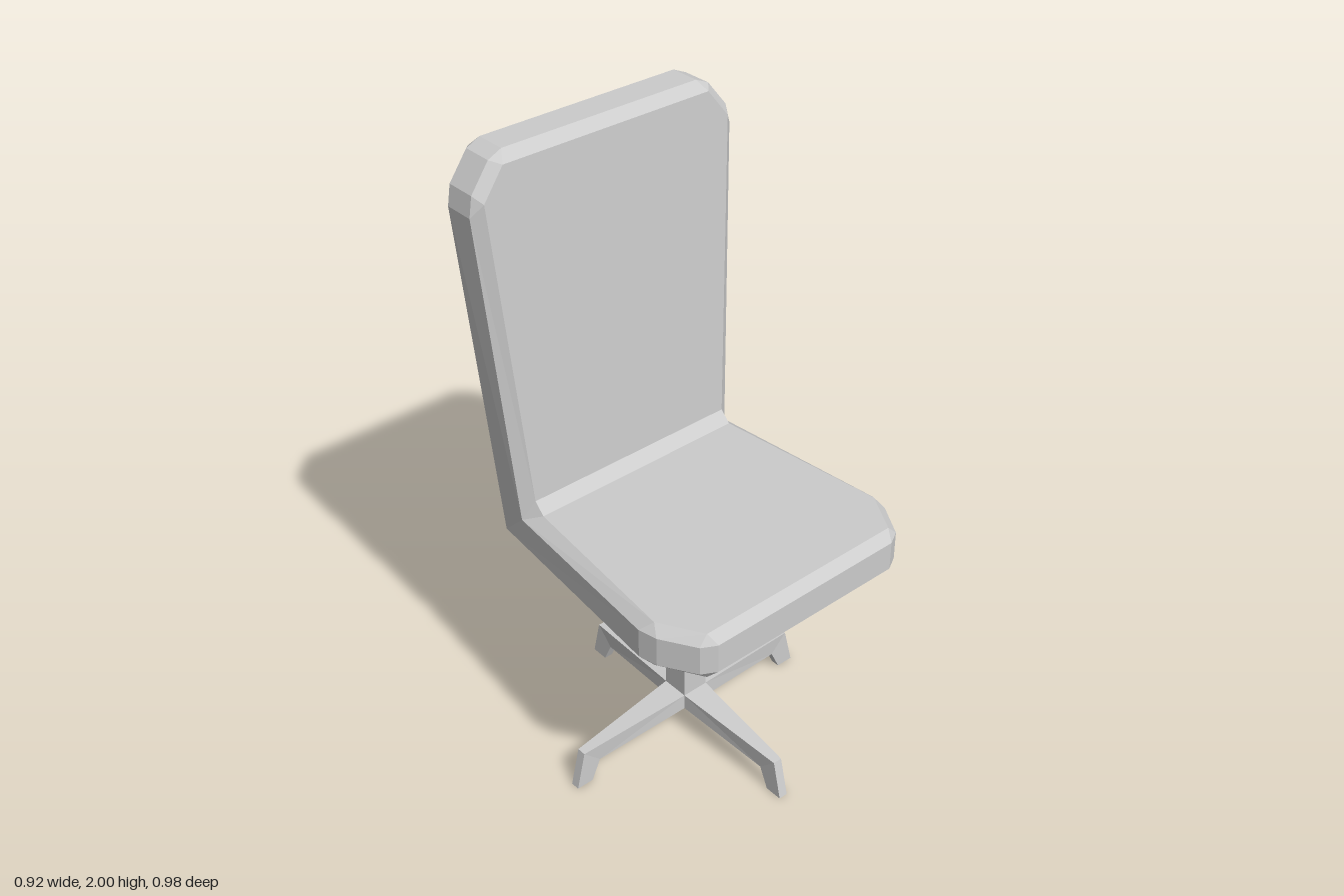
import * as THREE from 'three';

// Loft through stations; each station lists [x, y, z] points of its right half,
// mirrored in x to close the ring. Both ends are capped with strips.
function loft(stations) {
  const pos = [];
  const tri = (a, b, c) => pos.push(...a, ...b, ...c);
  const quad = (a, b, c, d) => { tri(a, b, c); tri(a, c, d); };
  const mirror = ([x, y, z]) => [-x, y, z];
  const rings = stations.map((s) => [...s, ...s.map(mirror).reverse()]);
  const n = rings[0].length;
  for (let s = 0; s < rings.length - 1; s++) {
    for (let i = 0; i < n; i++) {
      const j = (i + 1) % n;
      // swap the diagonal on the mirrored half so both sides match
      if (i < n / 2) quad(rings[s][i], rings[s][j], rings[s + 1][j], rings[s + 1][i]);
      else quad(rings[s][j], rings[s + 1][j], rings[s + 1][i], rings[s][i]);
    }
  }
  const first = stations[0], last = stations[stations.length - 1];
  for (let i = 0; i < first.length - 1; i++) {
    quad(first[i], mirror(first[i]), mirror(first[i + 1]), first[i + 1]);
    quad(last[i], last[i + 1], mirror(last[i + 1]), mirror(last[i]));
  }
  const geo = new THREE.BufferGeometry();
  geo.setAttribute('position', new THREE.Float32BufferAttribute(pos, 3));
  geo.computeVertexNormals();
  return geo;
}

// Cross-section of the seat: inset top and bottom faces, wider rim
const seatStation = (tx, tz, rx, rz) => [
  [tx, 0.89, tz], [rx, 0.86, rz], [rx, 0.765, rz], [tx, 0.735, tz],
];

// Cross-section of the backrest, leaning back as it rises
const backStation = (tx, ty, rx, ry) => [
  [tx, ty, -0.275 - 0.0574 * (ty - 0.925)],
  [rx, ry, -0.30 - 0.0574 * (ry - 0.86)],
  [rx, ry, -0.40 - 0.05 * (ry - 0.765)],
  [tx, ty, -0.43 - 0.05 * (ty - 0.77)],
];

export function createModel() {
  const model = new THREE.Group();
  model.name = 'swivelChair';
  const grey = new THREE.MeshStandardMaterial({ color: 0xcccccc });
  grey.name = 'light grey';
  const add = (name, geometry) => {
    const mesh = new THREE.Mesh(geometry, grey);
    mesh.name = name;
    model.add(mesh);
    return mesh;
  };

  // One bevelled L-shaped shell: seat front to bend, then up the back
  const rimFront = [0.40, 0.86, -0.30], rimBack = [0.39, 0.765, -0.40];
  add('seatAndBackrest', loft([
    seatStation(0.35, 0.46, 0.335, 0.49),
    seatStation(0.35, 0.46, 0.38, 0.465),
    seatStation(0.425, 0.33, 0.443, 0.36),
    seatStation(0.425, 0.33, 0.456, 0.30),
    [[0.365, 0.89, -0.24], rimFront, rimBack, [0.36, 0.735, -0.40]],
    [[0.365, 0.925, -0.275], rimFront, rimBack, [0.36, 0.77, -0.43]],
    backStation(0.425, 1.88, 0.456, 1.84),
    backStation(0.425, 1.88, 0.443, 1.90),
    backStation(0.355, 1.97, 0.38, 1.98),
    backStation(0.355, 1.97, 0.335, 2.0),
  ]));

  // Shallow pyramid under the seat
  const r = Math.SQRT2;
  let mount = new THREE.CylinderGeometry(0.295 * r, 0.045 * r, 0.067, 4);
  mount.rotateY(Math.PI / 4);
  mount = mount.toNonIndexed();
  mount.computeVertexNormals();
  add('seatMount', mount).position.set(0, 0.7035, -0.03);

  // Square column
  add('column', new THREE.BoxGeometry(0.09, 0.57, 0.09)).position.set(0, 0.39, -0.03);

  // Four tapered legs with turned-down feet
  const leg = loft([
    [[0.045, 0.16, -0.045], [0.045, 0.105, -0.045]],
    [[0.015, 0.13, -0.427], [0.015, 0.07, -0.368]],
    [[0.015, 0, -0.458], [0.015, 0, -0.40]],
  ]);
  for (let i = 0; i < 4; i++) {
    const mesh = add('leg', leg);
    mesh.position.z = -0.03;
    mesh.rotation.y = i * Math.PI / 2;
  }
  return model;
}
